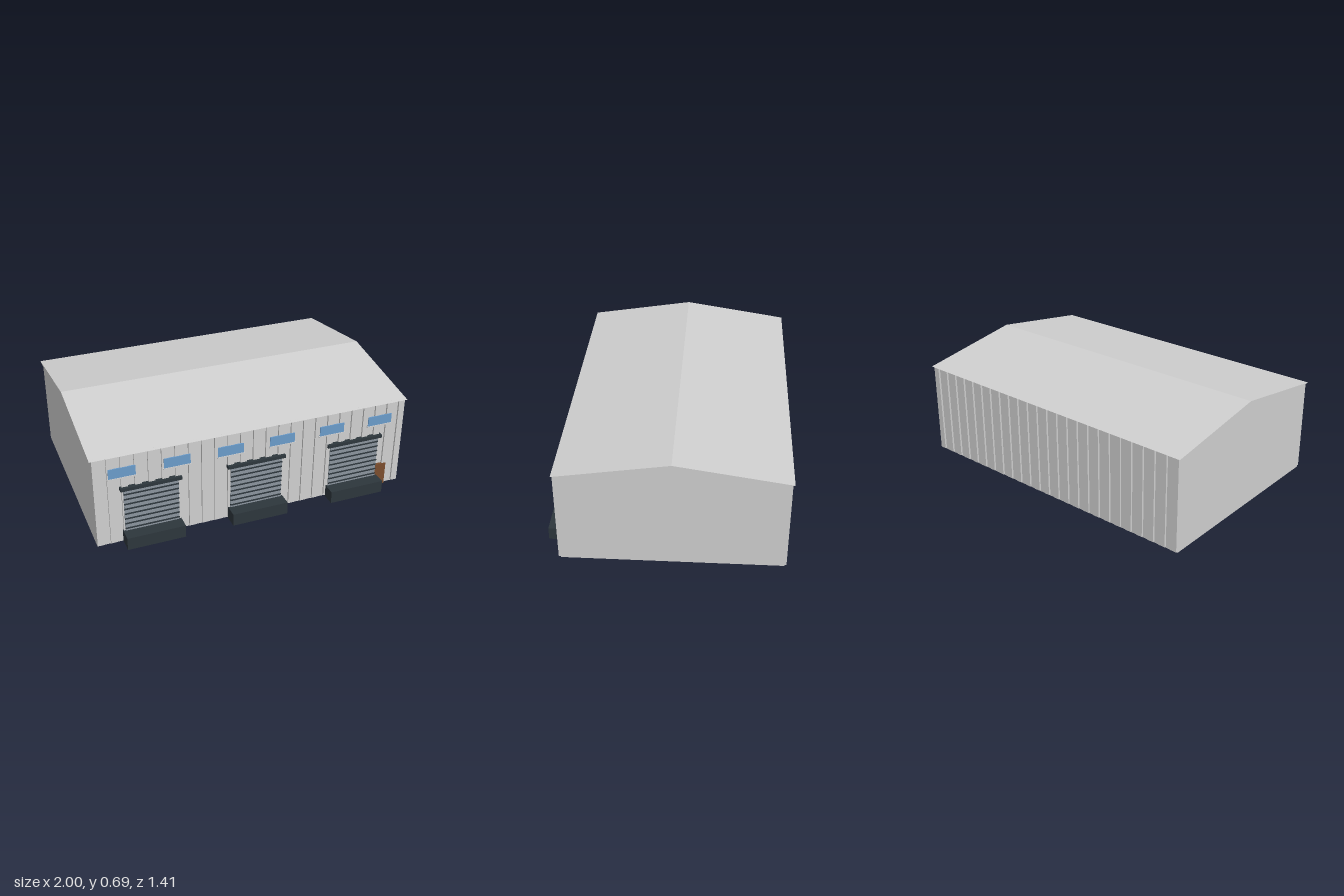
import * as THREE from 'three';

const mat = (name, color) => {
  const m = new THREE.MeshStandardMaterial({ color });
  m.name = name;
  return m;
};

export function createModel() {
  const model = new THREE.Group();
  model.name = 'warehouse';
  const cladding = mat('light grey cladding', 0xcfcfcf);
  const dark = mat('charcoal', 0x2d363c);
  const shutter = mat('blue grey shutter', 0x8b959e);
  const glass = mat('blue glass', 0x6a9bca);
  const brown = mat('brown door', 0x7a4d2d);

  // box given by its limits on each axis
  const box = (name, material, [x0, x1], [y0, y1], [z0, z1], parent = model) => {
    const mesh = new THREE.Mesh(new THREE.BoxGeometry(x1 - x0, y1 - y0, z1 - z0), material);
    mesh.position.set((x0 + x1) / 2, (y0 + y1) / 2, (z0 + z1) / 2);
    mesh.name = name;
    parent.add(mesh);
    return mesh;
  };
  const span = (center, width) => [center - width / 2, center + width / 2];

  const front = 0.612, back = -0.684, eave = 0.593;

  // main hall
  box('walls', cladding, [-0.987, 0.987], [0, eave], [back, front]);

  // vertical cladding ribs on the front and back
  const ribs = new THREE.Group();
  ribs.name = 'claddingRibs';
  model.add(ribs);
  for (let i = 0; i < 25; i++) {
    const x = span(-0.967 + i * 1.934 / 24, 0.04);
    box('frontRib', cladding, x, [0.008, 0.585], [front - 0.005, front + 0.012], ribs);
    box('backRib', cladding, x, [0.008, 0.585], [back - 0.012, back + 0.005], ribs);
  }

  // solid gable roof with a small overhang
  const gable = new THREE.Shape([
    new THREE.Vector2(-0.631, 0.59),
    new THREE.Vector2(0.706, 0.59),
    new THREE.Vector2(0.036, 0.694),
  ]);
  const roofGeometry = new THREE.ExtrudeGeometry(gable, { depth: 2, bevelEnabled: false });
  roofGeometry.translate(0, 0, -1).rotateY(Math.PI / 2);
  const roof = new THREE.Mesh(roofGeometry, cladding);
  roof.name = 'roof';
  model.add(roof);

  // loading bays: roller shutter, seams, header and dock
  for (const x of [-0.653, 0, 0.653]) {
    const bay = new THREE.Group();
    bay.name = 'loadingBay';
    model.add(bay);
    box('rollerShutter', shutter, span(x, 0.33), [0, 0.365], [front, 0.63], bay);
    for (let i = 0; i < 9; i++) {
      const y = 0.098 + i * 0.0335;
      box('shutterSeam', dark, span(x, 0.33), span(y, 0.007), [front, 0.636], bay);
    }
    box('shutterHeader', dark, span(x, 0.368), [0.36, 0.38], [front, 0.642], bay);
    box('loadingDock', dark, span(x, 0.355), [0, 0.08], [front, 0.708], bay);
  }

  // high windows with sills
  for (const side of [-1, 1]) {
    for (const x of [0.164, 0.492, 0.819]) {
      box('window', glass, span(side * x, 0.16), [0.452, 0.514], [0.622, 0.629]);
      box('windowSill', cladding, span(side * x, 0.172), [0.444, 0.452], [front, 0.632]);
    }
  }

  // staff door
  box('staffDoor', brown, [0.81, 0.892], [0, 0.155], [front, 0.629]);

  return model;
}
